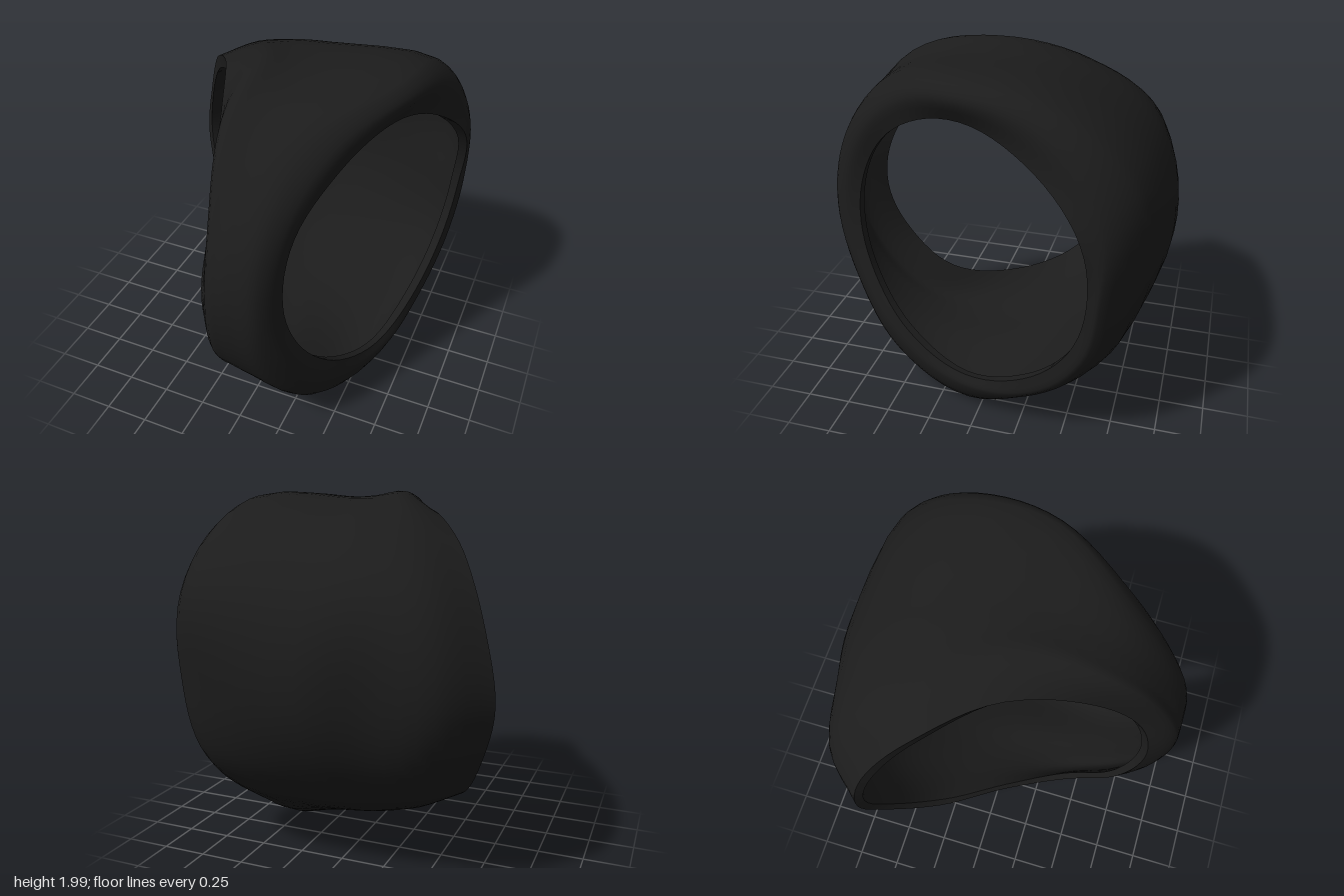
import * as THREE from 'three';

// Each rail runs once around the ring in twelve steps: front, up, top, back, bottom.
// x = sideways position, r = distance from the finger axis.
const RAILS = {
  innerLip: {
    x: [-0.11, -0.08, -0.14, -0.30, -0.58, -0.76, -0.83, -0.74, -0.58, -0.36, -0.20, -0.17],
    r: [0.72, 0.73, 0.76, 0.78, 0.74, 0.69, 0.67, 0.66, 0.68, 0.66, 0.68, 0.70] },
  outerLip: {
    x: [-0.14, -0.11, -0.18, -0.34, -0.61, -0.79, -0.87, -0.78, -0.62, -0.38, -0.22, -0.19],
    r: [0.76, 0.78, 0.82, 0.86, 0.80, 0.74, 0.70, 0.69, 0.71, 0.70, 0.73, 0.74] },
  shoulder: {
    x: [-0.03, -0.05, -0.10, -0.13, -0.38, -0.58, -0.64, -0.55, -0.40, -0.25, -0.13, -0.08],
    r: [0.90, 0.91, 0.99, 0.97, 0.93, 0.95, 0.92, 0.86, 0.82, 0.81, 0.88, 0.89] },
  saddle: {
    x: [0.03, 0.01, -0.02, 0.02, -0.17, -0.30, -0.30, -0.28, -0.20, -0.08, -0.02, 0.01],
    r: [0.91, 0.92, 0.985, 0.95, 0.98, 1.04, 0.96, 0.92, 0.87, 0.88, 0.91, 0.91] },
  crown: {
    x: [0.10, 0.08, 0.08, 0.15, 0.05, 0.00, 0.03, 0.00, 0.02, 0.12, 0.12, 0.10],
    r: [0.91, 0.93, 0.97, 0.94, 1.00, 1.08, 1.04, 0.96, 0.90, 0.91, 0.94, 0.92] },
  farShoulder: {
    x: [0.22, 0.23, 0.32, 0.60, 0.65, 0.65, 0.62, 0.60, 0.56, 0.50, 0.38, 0.25],
    r: [0.90, 0.92, 0.95, 0.95, 1.015, 1.05, 0.93, 0.93, 0.91, 1.02, 0.99, 0.92] },
  farOuterLip: {
    x: [0.29, 0.32, 0.45, 0.67, 0.77, 0.84, 0.86, 0.82, 0.74, 0.65, 0.49, 0.36],
    r: [0.82, 0.83, 0.86, 0.87, 0.90, 0.88, 0.77, 0.80, 0.83, 0.83, 0.85, 0.82] },
  farInnerLip: {
    x: [0.30, 0.32, 0.45, 0.60, 0.74, 0.86, 0.84, 0.80, 0.73, 0.63, 0.50, 0.37],
    r: [0.72, 0.72, 0.73, 0.74, 0.72, 0.73, 0.70, 0.71, 0.73, 0.76, 0.74, 0.72] },
};
const AROUND = 72, CENTRE_Y = 1.02, CENTRE_Z = 0.07, WALL = 0.05;
const angle = (i) => (i / AROUND) * Math.PI * 2;

// Smooth closed rail, sampled around the ring
function sampleRail({ x, r }) {
  const curve = new THREE.CatmullRomCurve3(
    x.map((v, i) => new THREE.Vector3(v, r[i], 0)), true, 'catmullrom', 0.5);
  return Array.from({ length: AROUND }, (_, i) => {
    const p = curve.getPoint(i / AROUND), a = angle(i);
    return new THREE.Vector3(p.x, CENTRE_Y + p.y * Math.sin(a), CENTRE_Z + p.y * Math.cos(a));
  });
}

// Copy of a rail moved inward by the wall thickness, square to its neighbours
function inset(before, rail, after) {
  return rail.map((p, i) => {
    const around = new THREE.Vector3(0, Math.cos(angle(i)), -Math.sin(angle(i)));
    const across = after[i].clone().sub(before[i]);
    return around.cross(across).setLength(WALL).add(p);
  });
}

// Smooth surface stretched across several rails
function strip(name, rails, across, material) {
  const pos = [], index = [], n = across + 1;
  for (let i = 0; i < AROUND; i++) {
    const section = new THREE.CatmullRomCurve3(rails.map((rail) => rail[i]), false, 'centripetal');
    for (let j = 0; j < n; j++) pos.push(...section.getPoint(j / across).toArray());
    for (let j = 0; j < across; j++) {
      const a = i * n + j, b = ((i + 1) % AROUND) * n + j;
      index.push(a, a + 1, b, a + 1, b + 1, b);
    }
  }
  const geometry = new THREE.BufferGeometry();
  geometry.setAttribute('position', new THREE.Float32BufferAttribute(pos, 3));
  geometry.setIndex(index);
  geometry.computeVertexNormals();
  const mesh = new THREE.Mesh(geometry, material);
  mesh.name = name;
  return mesh;
}

export function createModel() {
  const black = new THREE.MeshStandardMaterial({ color: 0x1c1c1c });
  black.name = 'matteBlack';
  const s = {};
  for (const key in RAILS) s[key] = sampleRail(RAILS[key]);

  // Outer profile from the right edge to the left, and its inset copy
  const outer = [s.outerLip, s.shoulder, s.saddle, s.crown, s.farShoulder, s.farOuterLip, s.farInnerLip];
  const inner = [];
  for (let k = 1; k < outer.length; k++) {
    inner.unshift(inset(outer[k - 1], outer[k], outer[Math.min(k + 1, outer.length - 1)]));
  }

  const ring = new THREE.Group();
  ring.name = 'ring';
  ring.add(
    // Outer face, rolling over into the left bezel
    strip('outerBand', outer, 24, black),
    // Thin rims around both openings
    strip('rightRim', [s.innerLip, s.outerLip], 2, black),
    strip('leftRim', [s.farInnerLip, inner[0]], 2, black),
    // Hollow inside, following the outer face
    strip('innerBand', [...inner, s.innerLip], 24, black),
  );
  return ring;
}
